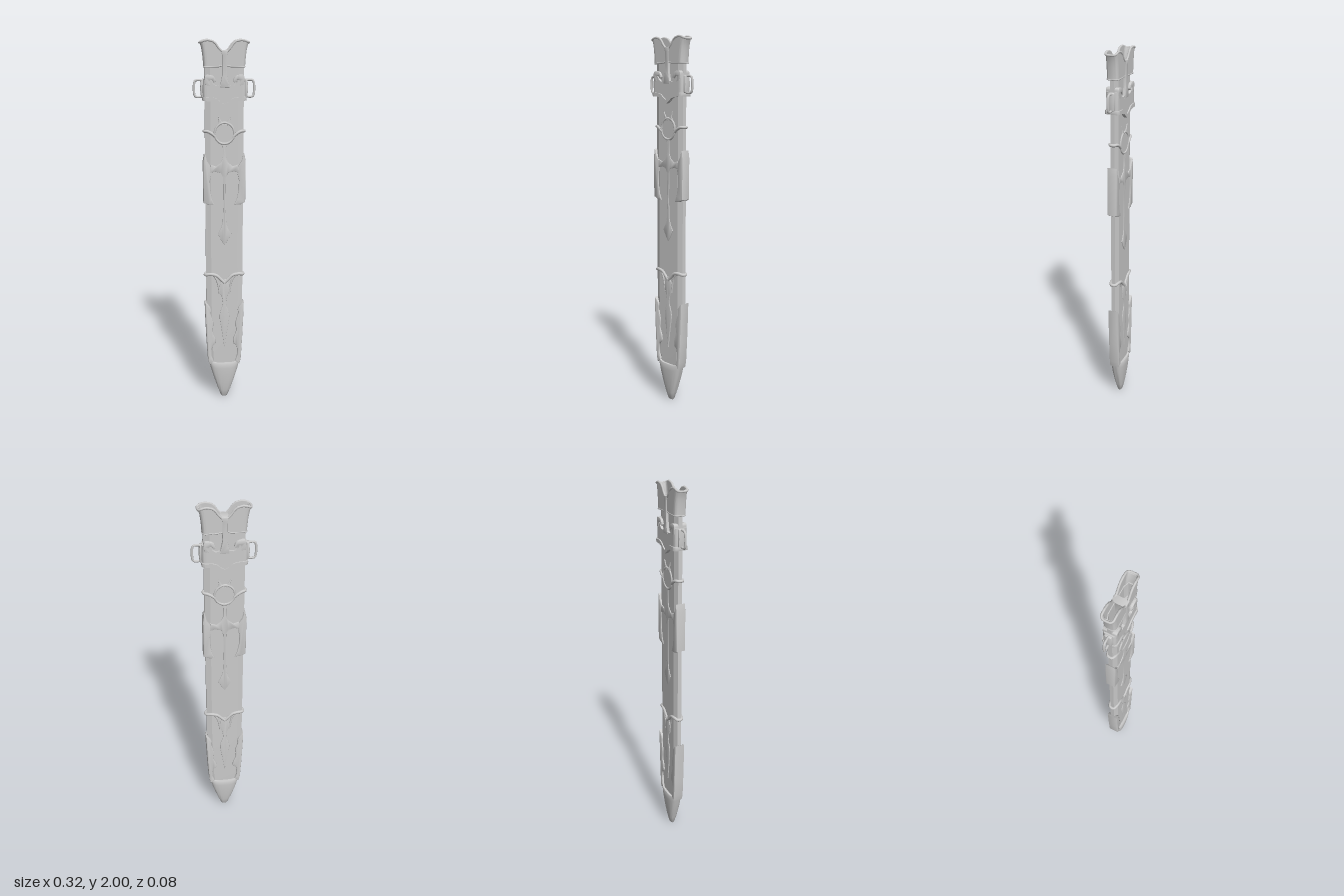
import * as THREE from 'three';
import { toCreasedNormals } from 'three/addons/utils/BufferGeometryUtils.js';

const material = new THREE.MeshStandardMaterial({ color: 0xcccccc });
const V = (x, y, z) => new THREE.Vector3(x, y, z);

// Piecewise-linear lookup in [[x, value], ...], symmetric about x = 0
function lookup(table, x) {
  x = Math.abs(x);
  for (let i = 1; i < table.length; i++) {
    const [x0, v0] = table[i - 1], [x1, v1] = table[i];
    if (x <= x1) return v0 + (v1 - v0) * (x - x0) / (x1 - x0);
  }
  return table[table.length - 1][1];
}

// Skin through rings of [x, y, z] points; wrap joins the last ring to the first
function loft(rings, wrap = false, crease = 0.6) {
  const n = rings[0].length, index = [];
  const rows = wrap ? rings.length : rings.length - 1;
  for (let j = 0; j < rows; j++) {
    const k = (j + 1) % rings.length;
    for (let i = 0; i < n; i++) {
      const m = (i + 1) % n;
      index.push(j * n + i, j * n + m, k * n + m, j * n + i, k * n + m, k * n + i);
    }
  }
  const g = new THREE.BufferGeometry();
  g.setAttribute('position', new THREE.Float32BufferAttribute(rings.flat(2), 3));
  g.setIndex(index);
  return toCreasedNormals(g, crease);
}

// Rounded-rectangle outline in x and z, with a finely divided front and back
function roundedRing(w, d, r) {
  const pts = [];
  [[1, 1], [1, -1], [-1, -1], [-1, 1]].forEach(([sx, sz], q) => {
    for (let i = 0; i <= 5; i++) {
      const a = (q + i / 5) * Math.PI / 2;
      pts.push([sx * (w - r) + r * Math.sin(a), sz * (d - r) + r * Math.cos(a)]);
    }
    if (q % 2) for (let i = 1; i < 40; i++) pts.push([sx * (w - r) * (1 - i / 20), sz * d]);
  });
  return pts;
}

// Hollow sleeve whose lower and upper edges follow tables of y against x
function sleeve(widths, d, thick, bottom, top) {
  const outer = [], inner = [], steps = widths.length - 1;
  widths.forEach((w, j) => {
    const level = (x) => lookup(bottom, x) + (lookup(top, x) - lookup(bottom, x)) * j / steps;
    const base = roundedRing(w, d, 0.018);
    const hollow = roundedRing(w - thick, d - thick, 0.01);
    outer.push(base.map(([x, z]) => [x, level(x), z]));
    inner.unshift(hollow.map(([x, z], i) => [x, level(base[i][0]), z]));
  });
  return loft([...outer, ...inner], true);
}

export function createModel() {
  const group = new THREE.Group();
  const add = (name, geometry) => {
    const mesh = new THREE.Mesh(geometry, material);
    mesh.name = name;
    group.add(mesh);
    return mesh;
  };
  // Plate running through the whole thickness, so it stands proud front and back
  const plate = (name, pts, halfDepth, bevel = 0.003) => {
    const shape = new THREE.Shape(pts.map(([x, y]) => new THREE.Vector2(x, y)));
    const g = new THREE.ExtrudeGeometry(shape, {
      depth: 2 * (halfDepth - bevel), bevelThickness: bevel, bevelSize: bevel,
      bevelOffset: -bevel, bevelSegments: 2, steps: 1,
    });
    g.translate(0, 0, bevel - halfDepth);
    return add(name, toCreasedNormals(g, 0.6));
  };
  const curved = (pts, n = 40) =>
    new THREE.SplineCurve(pts.map(([x, y]) => new THREE.Vector2(x, y))).getPoints(n).map((p) => [p.x, p.y]);
  const symmetric = (half) => [...half, ...half.map(([x, y]) => [-x, y]).reverse()];
  const flip = (pts, s) => pts.map(([x, ...rest]) => [x * s, ...rest]);
  const tube = (name, pts, r, closed = false, n = 48) =>
    add(name, new THREE.TubeGeometry(
      new THREE.CatmullRomCurve3(pts.map((p) => V(...p)), closed, 'centripetal'), n, r, 8, closed));

  // Hollow body with bevelled edges, closed at the foot
  const bodyRing = (y, w, d) => [
    [-0.72, 1], [0.72, 1], [1, 0.5], [1, -0.5], [0.72, -1], [-0.72, -1], [-1, -0.5], [-1, 0.5],
  ].map(([x, z]) => [x * w, y, z * d]);
  add('body', loft([
    bodyRing(0.15, 0.001, 0.001), bodyRing(0.15, 0.066, 0.018), bodyRing(0.26, 0.087, 0.021),
    bodyRing(0.6, 0.1, 0.022), bodyRing(1.93, 0.102, 0.022), bodyRing(1.93, 0.097, 0.018),
    bodyRing(0.3, 0.08, 0.016), bodyRing(0.3, 0.001, 0.001),
  ], false, 0.3));

  // Flared throat with a notched, beaded mouth
  const mouth = [[0, 1.935], [0.015, 1.938], [0.03, 1.953], [0.045, 1.975], [0.06, 1.987],
    [0.085, 1.993], [0.105, 1.99], [0.127, 1.98]];
  const throatFoot = [[0, 1.87], [0.03, 1.862], [0.11, 1.86]];
  add('throat', sleeve([0.107, 0.108, 0.11, 0.112, 0.115, 0.119, 0.125], 0.031, 0.008, throatFoot, mouth));
  tube('mouthRim', roundedRing(0.126, 0.029, 0.018).map(([x, z]) => [x, lookup(mouth, x), z]), 0.006, true, 240);
  tube('throatHem', roundedRing(0.105, 0.029, 0.015).map(([x, z]) => [x, lookup(throatFoot, x), z]), 0.004, true, 160);
  plate('throatStem', symmetric([[0.019, 1.942], [0.013, 1.92], [0.012, 1.82], [0.018, 1.79], [0.025, 1.755]]), 0.036);

  // Suspension band, its pointed hem, hooks and side loops
  const bandFoot = [[0, 1.652], [0.02, 1.663], [0.04, 1.68], [0.06, 1.687], [0.12, 1.69]];
  const bandTop = [[0, 1.775], [0.03, 1.768], [0.045, 1.765], [0.06, 1.775], [0.075, 1.8], [0.12, 1.8]];
  add('band', sleeve([0.11, 0.112, 0.112, 0.11], 0.034, 0.012, bandFoot, bandTop));
  add('bandHem', sleeve([0.113, 0.115, 0.113], 0.04, 0.016, bandFoot, bandFoot.map(([x, y]) => [x, y + 0.02])));
  for (const s of [1, -1]) {
    plate('bandHook', flip(curved([[0.1, 1.77], [0.1, 1.815], [0.075, 1.82], [0.055, 1.812], [0.045, 1.79],
      [0.055, 1.782], [0.066, 1.795], [0.078, 1.79], [0.075, 1.765]]), s), 0.035);
    plate('loopLug', flip([[0.1, 1.7], [0.12, 1.71], [0.124, 1.75], [0.12, 1.795], [0.1, 1.8]], s), 0.018, 0.005);
    tube('sideLoop', flip([[0.11, 1.708, 0], [0.145, 1.708, 0], [0.153, 1.716, 0], [0.153, 1.784, 0],
      [0.145, 1.792, 0], [0.11, 1.792, 0]], s), 0.006);
  }

  // Round medallion with horns and straps around the edges
  const disc = new THREE.CylinderGeometry(0.048, 0.048, 0.048, 40).rotateX(Math.PI / 2);
  add('medallion', toCreasedNormals(disc, 0.6)).position.y = 1.52;
  for (const z of [0.022, -0.022]) {
    const ring = add('medallionRing', new THREE.TorusGeometry(0.051, 0.006, 8, 48));
    ring.position.set(0, 1.52, z);
    ring.scale.y = 1.08;
  }
  for (const s of [1, -1]) {
    plate('medallionHorn', flip(curved([[0, 1.565], [0.015, 1.583], [0.034, 1.612], [0.03, 1.58],
      [0.05, 1.545], [0.025, 1.56]]), s), 0.026);
    const strap = [[0.05, 1.505, 0.022], [0.068, 1.52, 0.022], [0.088, 1.53, 0.019], [0.104, 1.53, 0.01]];
    tube('medallionStrap', flip([...strap, ...strap.map(([x, y, z]) => [x, y, -z]).reverse()], s), 0.008);

    // Long guards wrapping both edges
    plate('edgeGuard', flip([[0.112, 1.15], [0.113, 1.37], [0.106, 1.41], [0.1, 1.405], [0.092, 1.375],
      [0.075, 1.35], [0.07, 1.3], [0.077, 1.27], [0.076, 1.22], [0.066, 1.17], [0.052, 1.135],
      [0.085, 1.137]], s), 0.027, 0.006);
  }

  // Central stem with side arms and an arrow-shaped end
  plate('centreStem', symmetric([[0.012, 1.468], [0.008, 1.44], [0.008, 1.395], [0.02, 1.365], [0.045, 1.345],
    [0.075, 1.355], [0.08, 1.31], [0.05, 1.318], [0.02, 1.31], [0.008, 1.285], [0.006, 1.13], [0.01, 1.04],
    [0.018, 1.01], [0.037, 0.975], [0.015, 0.935], [0.001, 0.915]]), 0.026);

  // Lower spike hanging from straps around the edges
  const spike = curved([[0.012, 0.715], [0.026, 0.68], [0.026, 0.645], [0.012, 0.6], [0.01, 0.565], [0.022, 0.53],
    [0.027, 0.49], [0.018, 0.43], [0.009, 0.37], [0.001, 0.31]]);
  plate('lowerSpike', symmetric(spike), 0.026);
  for (const s of [1, -1]) {
    const strap = [[0, 0.695, 0.022], [0.02, 0.715, 0.022], [0.045, 0.738, 0.022], [0.075, 0.745, 0.021],
      [0.102, 0.74, 0.01]];
    tube('lowerStrap', flip([...strap, ...strap.map(([x, y, z]) => [x, y, -z]).reverse()], s), 0.009, false, 64);
    tube('strapTail', flip([[0.06, 0.74, 0.022], [0.042, 0.71, 0.022], [0.032, 0.67, 0.022],
      [0.026, 0.63, 0.022]], s), 0.005);
    tube('strapTail', flip([[0.06, 0.74, -0.022], [0.042, 0.71, -0.022], [0.032, 0.67, -0.022],
      [0.026, 0.63, -0.022]], s), 0.005);

    // Wavy side rails of the chape
    const inner = curved([[0.06, 0.225], [0.073, 0.27], [0.068, 0.315], [0.05, 0.335], [0.05, 0.365],
      [0.065, 0.41], [0.062, 0.46], [0.075, 0.51], [0.076, 0.545], [0.098, 0.575]]);
    plate('chapeRail', flip([...inner, [0.108, 0.58], [0.106, 0.5], [0.1, 0.36], [0.093, 0.24],
      [0.085, 0.205]], s), 0.029, 0.006);
  }

  // Tapering chape tip with a scooped upper edge
  const tipRing = (t, w, d) => Array.from({ length: 48 }, (_, i) => {
    const a = i / 48 * Math.PI * 2, sn = Math.sin(a), cs = Math.cos(a);
    const p = (v) => Math.sign(v) * Math.abs(v) ** 0.8;
    return [w * p(sn), t * (0.215 + 0.04 * sn ** 4), d * p(cs)];
  });
  add('chapeTip', loft([
    tipRing(0, 0.001, 0.001), tipRing(0, 0.015, 0.008), tipRing(0.03, 0.02, 0.012), tipRing(0.2, 0.036, 0.02),
    tipRing(0.42, 0.055, 0.027), tipRing(0.65, 0.073, 0.032), tipRing(0.85, 0.086, 0.035),
    tipRing(0.96, 0.093, 0.035), tipRing(1, 0.093, 0.032), tipRing(1, 0.08, 0.016),
  ]));

  return group;
}
